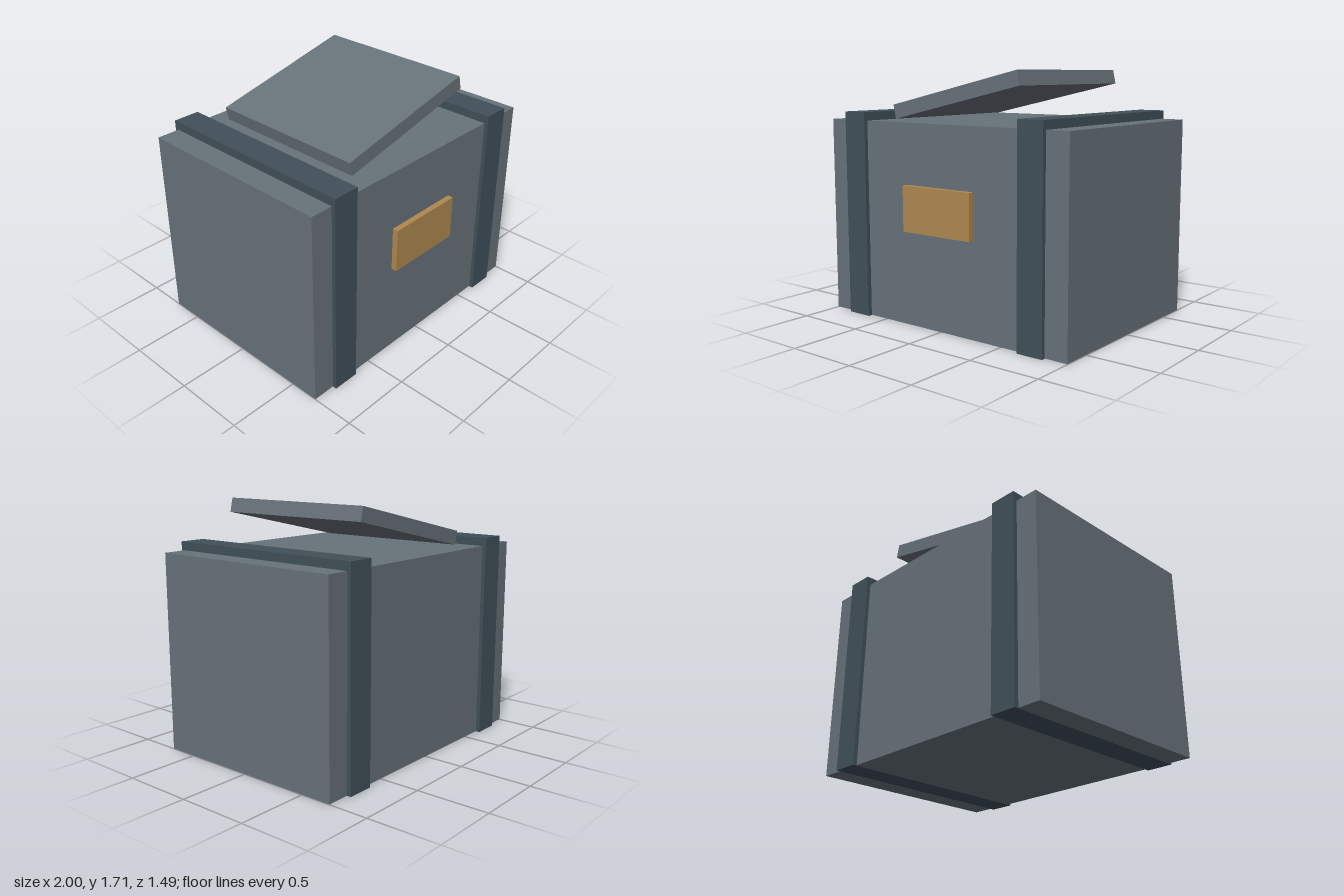
import * as THREE from 'three';

const paint = (name, color) => {
  const m = new THREE.MeshStandardMaterial({ color });
  m.name = name;
  return m;
};

export function createModel() {
  const crate = new THREE.Group();
  crate.name = 'crate';
  const grey = paint('slate grey', 0x68727a);
  const dark = paint('dark steel', 0x40505a);
  const tan = paint('tan', 0xb08850);
  const midZ = -0.007; // the label overhangs the front, so the body sits slightly back

  const box = (name, material, size, position) => {
    const mesh = new THREE.Mesh(new THREE.BoxGeometry(...size), material);
    mesh.name = name;
    mesh.position.set(...position);
    crate.add(mesh);
    return mesh;
  };

  // Body, raised a hair so the strap undersides stay clean
  box('body', grey, [2, 1.368, 1.426], [0, 0.686, midZ]);

  // Bands wrapped around the body
  for (const [name, x] of [['leftStrap', 0.742], ['rightStrap', -0.745]]) {
    box(name, dark, [0.188, 1.428, 1.482], [x, 0.714, midZ]);
  }

  // Loose lid, tipped up towards +x
  const lid = box('lid', grey, [1.082, 0.098, 1.144], [0, 1.547, midZ]);
  lid.rotation.z = 0.22;

  // Label plate on the front
  box('labelPlate', tan, [0.572, 0.31, 0.04], [0, 0.803, 0.726]);

  return crate;
}
